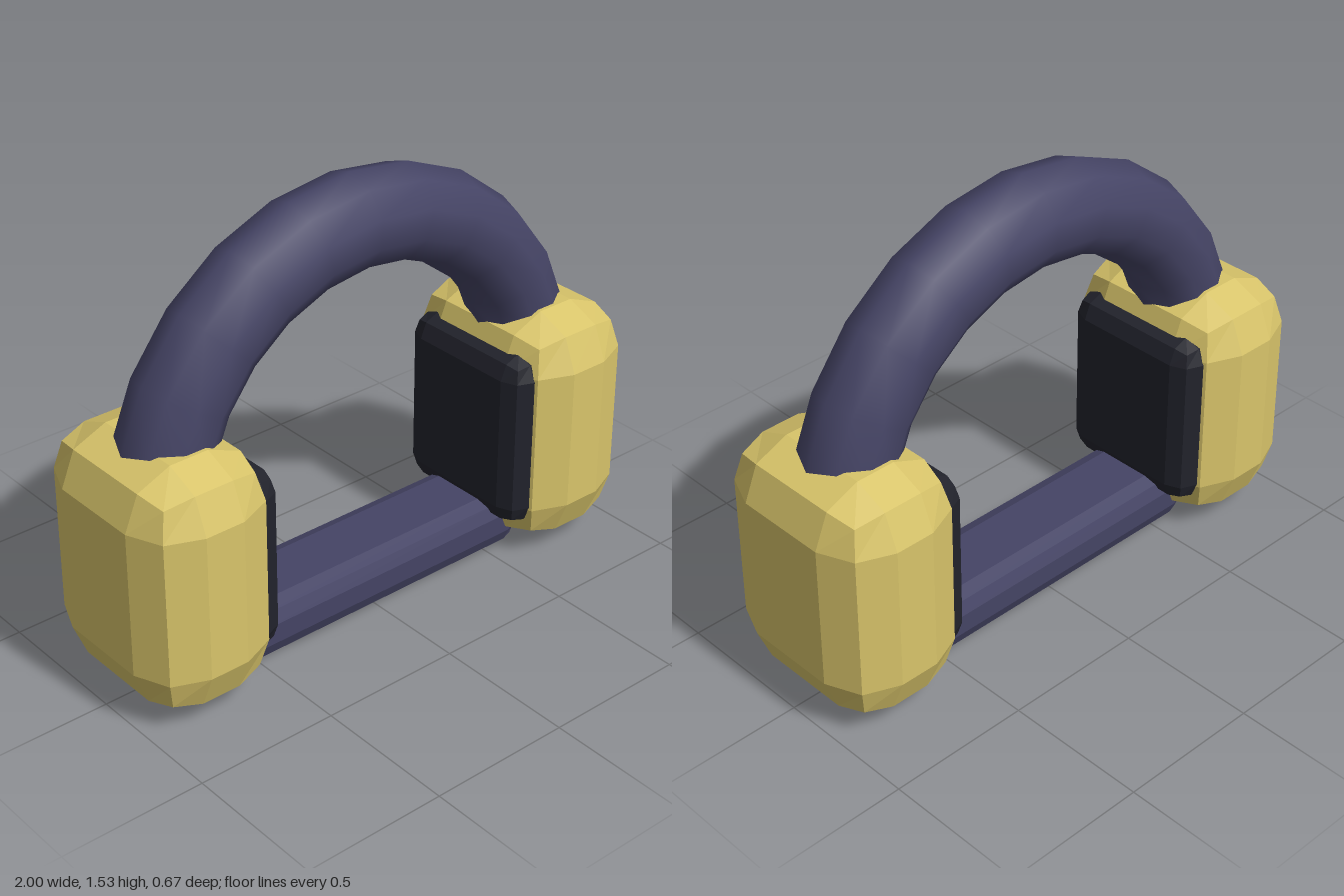
import * as THREE from 'three';
import { RoundedBoxGeometry } from 'three/addons/geometries/RoundedBoxGeometry.js';

const material = (name, color) => {
  const m = new THREE.MeshStandardMaterial({ color });
  m.name = name;
  return m;
};

// Box with two-facet bevels and flat faces
function facetedBox(width, height, depth, radius) {
  const g = new RoundedBoxGeometry(width, height, depth, 1, radius);
  const flat = g.index ? g.toNonIndexed() : g;
  flat.computeVertexNormals();
  return flat;
}

export function createModel() {
  const model = new THREE.Group();
  model.name = 'shackle';

  const yellow = material('mustard yellow', 0xd8c46a);
  const violet = material('dusky violet', 0x454465);
  const black = material('near black', 0x22232c);

  const add = (name, geometry, mat, x, y) => {
    const mesh = new THREE.Mesh(geometry, mat);
    mesh.name = name;
    mesh.position.set(x, y, 0);
    model.add(mesh);
  };

  // Arched band: half a ten-sided torus, smoothly shaded
  add('band', new THREE.TorusGeometry(0.77, 0.16, 10, 12, Math.PI), violet, 0, 0.6);

  // Cross bar between the cups
  add('crossBar', facetedBox(1.29, 0.197, 0.322, 0.063), violet, 0, 0.0985);

  // Cups with an inner pad on each side
  const cup = facetedBox(0.48, 0.85, 0.67, 0.17);
  const pad = facetedBox(0.16, 0.645, 0.55, 0.078);
  for (const [side, s] of [['left', 1], ['right', -1]]) {
    add(side + 'Cup', cup, yellow, s * 0.76, 0.46);
    add(side + 'Pad', pad, black, s * 0.565, 0.46);
  }

  return model;
}
